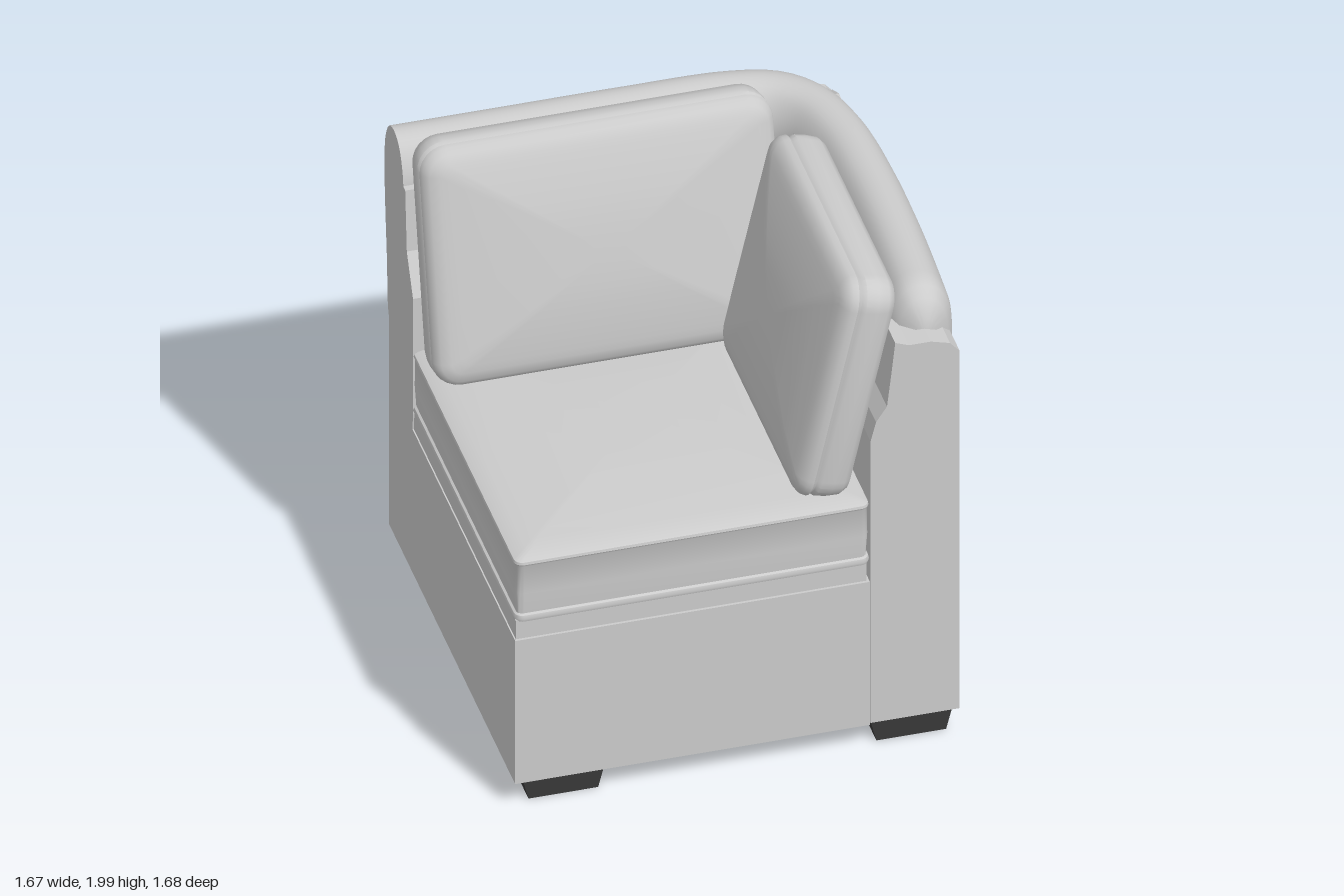
import * as THREE from 'three';
import { toCreasedNormals } from 'three/addons/utils/BufferGeometryUtils.js';

const fabric = new THREE.MeshStandardMaterial({ color: 0xcccccc, side: THREE.DoubleSide });
const darkWood = new THREE.MeshStandardMaterial({ color: 0x383838 });
const tanWood = new THREE.MeshStandardMaterial({ color: 0xa87c50 });

function add(parent, name, geometry, material = fabric) {
  const mesh = new THREE.Mesh(geometry, material);
  mesh.name = name;
  parent.add(mesh);
  return mesh;
}

// Skin a list of closed rings (counter-clockwise seen from the last ring), capped at both ends
function loft(rings, crease) {
  const n = rings[0].length;
  const points = rings.flat();
  const index = [];
  for (let i = 0; i < rings.length - 1; i++) {
    for (let j = 0; j < n; j++) {
      const a = i * n + j, b = i * n + (j + 1) % n;
      index.push(a, b, b + n, a, b + n, a + n);
    }
  }
  for (const i of [0, rings.length - 1]) {
    const c = points.length;
    points.push(rings[i].reduce((s, p) => s.add(p), new THREE.Vector3()).divideScalar(n));
    for (let j = 0; j < n; j++) {
      const a = i * n + j, b = i * n + (j + 1) % n;
      if (i === 0) index.push(c, b, a); else index.push(c, a, b);
    }
  }
  const geometry = new THREE.BufferGeometry().setFromPoints(points);
  geometry.setIndex(index);
  return toCreasedNormals(geometry, crease);
}

// Rounded rectangle ring at depth z
function roundedRing(w, h, r, z, scale = 1) {
  const ring = [];
  for (let q = 0; q < 4; q++) {
    const sx = q === 0 || q === 3 ? 1 : -1, sy = q < 2 ? 1 : -1;
    for (let k = 0; k <= 6; k++) {
      const a = (q + k / 6) * Math.PI / 2;
      ring.push(new THREE.Vector3(
        scale * (sx * (w / 2 - r) + r * Math.cos(a)),
        scale * (sy * (h / 2 - r) + r * Math.sin(a)), z));
    }
  }
  return ring;
}

// Stuffed cushion facing +z: edge profile of [inset, z], closed by a dome
function cushion(w, h, r, profile, domeHeight) {
  const rings = profile.map(([inset, z]) =>
    roundedRing(w - 2 * inset, h - 2 * inset, Math.max(r - inset, 0.02), z));
  const [inset, z] = profile[profile.length - 1];
  for (const s of [0.93, 0.85, 0.7, 0.5, 0.3, 0.1]) {
    rings.push(roundedRing(w - 2 * inset, h - 2 * inset, Math.max(r - inset, 0.02),
      z + domeHeight * (1 - s * s), s));
  }
  return loft(rings, 0.7);
}

// Extruded side profile along +z
function extrude(points, length) {
  const shape = new THREE.Shape(points.map(([x, y]) => new THREE.Vector2(x, y)));
  return new THREE.ExtrudeGeometry(shape, { depth: length, bevelEnabled: false });
}

// Padded roll with a tapering outer skirt, swept round the corner
function cornerRoll() {
  const path = new THREE.CatmullRomCurve3([
    [-0.84, -0.715], [-0.4, -0.715], [0, -0.715], [0.38, -0.705], [0.54, -0.66], [0.635, -0.56],
    [0.69, -0.38], [0.71, -0.1], [0.71, 0.2], [0.70, 0.45], [0.69, 0.63], [0.685, 0.75],
  ].map(([x, z]) => new THREE.Vector3(x, 0, z)), false, 'centripetal');
  const section = new THREE.CatmullRomCurve3([
    [0.06, 1.0], [0.09, 1.25], [0.115, 1.5], [0.122, 1.66], [0.105, 1.77], [0.06, 1.84], [0, 1.86],
    [-0.06, 1.84], [-0.105, 1.77], [-0.122, 1.68], [-0.1, 1.55], [-0.06, 1.4], [0.0, 1.02],
  ].map(([n, y]) => new THREE.Vector3(n, y, 0)), true).getPoints(44).slice(0, -1);
  const rings = [];
  const steps = 70;
  for (let i = 0; i <= steps; i++) {
    const t = i / steps;
    const p = path.getPointAt(t), tan = path.getTangentAt(t);
    // Round off the front end
    const e = THREE.MathUtils.clamp((t - 0.955) / 0.045, 0, 0.95);
    const k = Math.sqrt(1 - e * e);
    rings.push(section.map(({ x, y }) => new THREE.Vector3(
      p.x + tan.z * -x * -k, 1.72 + (y - 1.72) * k, p.z - tan.x * x * k)));
  }
  return loft(rings, 1.0);
}

export function createModel() {
  const model = new THREE.Group();
  model.name = 'cornerSofaSection';

  // Base and recessed deck under the seat
  add(model, 'base', new THREE.BoxGeometry(1.295, 0.62, 1.62).translate(-0.1925, 0.42, 0.03));
  add(model, 'seatDeck', new THREE.BoxGeometry(1.28, 0.09, 1.6).translate(-0.195, 0.765, 0.03));

  // Upright panels on the side and rear
  add(model, 'sidePanel', extrude([
    [0.46, 0.11], [0.785, 0.11], [0.785, 1.66], [0.75, 1.7], [0.68, 1.72], [0.6, 1.72],
    [0.55, 1.74], [0.535, 1.6], [0.52, 1.47], [0.48, 1.41], [0.46, 1.33],
  ], 1.61).translate(0, 0, -0.78));
  const rear = extrude([
    [0.54, 0.11], [0.78, 0.11], [0.78, 1.67], [0.7, 1.71], [0.57, 1.7], [0.55, 1.45],
    [0.47, 1.3], [0.47, 0.8],
  ], 1.62);
  add(model, 'backPanel', rear.rotateY(Math.PI / 2).translate(-0.84, 0, 0));

  // Wrapped roll along the top
  add(model, 'topRoll', cornerRoll());

  // Seat cushion with piped edges
  const seat = add(model, 'seatCushion', cushion(1.3, 1.36, 0.035, [
    [0.02, -0.005], [0.004, 0], [0, 0.012], [0.004, 0.025], [0.012, 0.03], [0.006, 0.12],
    [0.008, 0.235], [0.002, 0.245], [0.004, 0.255], [0.02, 0.262], [0.06, 0.272],
  ], 0.035));
  seat.rotation.x = -Math.PI / 2;
  seat.position.set(-0.19, 0.805, 0.16);

  // Leaning back cushions, one per upright
  const backProfile = [
    [0.06, -0.135], [0.025, -0.125], [0.006, -0.1], [0, -0.06], [0, -0.015], [0.012, 0],
    [0, 0.015], [0.006, 0.035], [0.025, 0.055], [0.06, 0.068],
  ];
  for (const [name, width, x, z, turn] of [
    ['backCushion', 1.29, -0.193, -0.33, 0],
    ['sideCushion', 1.04, 0.35, 0.305, -Math.PI / 2],
  ]) {
    const pillow = add(model, name, cushion(width, 0.92, 0.1, backProfile, 0.05));
    pillow.rotation.set(-0.22, turn, 0, 'YXZ');
    pillow.position.set(x, 1.535, z);
  }

  // Tapered block feet with small turned pegs beside them
  for (const x of [-0.65, 0.62]) {
    for (const [z, pegs] of [[0.72, [0.62, 0.51]], [-0.61, [-0.555]]]) {
      const foot = new THREE.BoxGeometry(0.31, 0.11, 0.14);
      const pos = foot.attributes.position;
      for (let i = 0; i < pos.count; i++) {
        if (pos.getY(i) < 0) pos.setX(i, pos.getX(i) * 0.82);
      }
      foot.computeVertexNormals();
      add(model, 'foot', foot.translate(x, 0.055, z), darkWood);
      for (const pz of pegs) {
        add(model, 'peg', new THREE.CylinderGeometry(0.055, 0.037, 0.085, 20)
          .translate(x, 0.0685, pz), tanWood);
      }
    }
  }
  return model;
}
